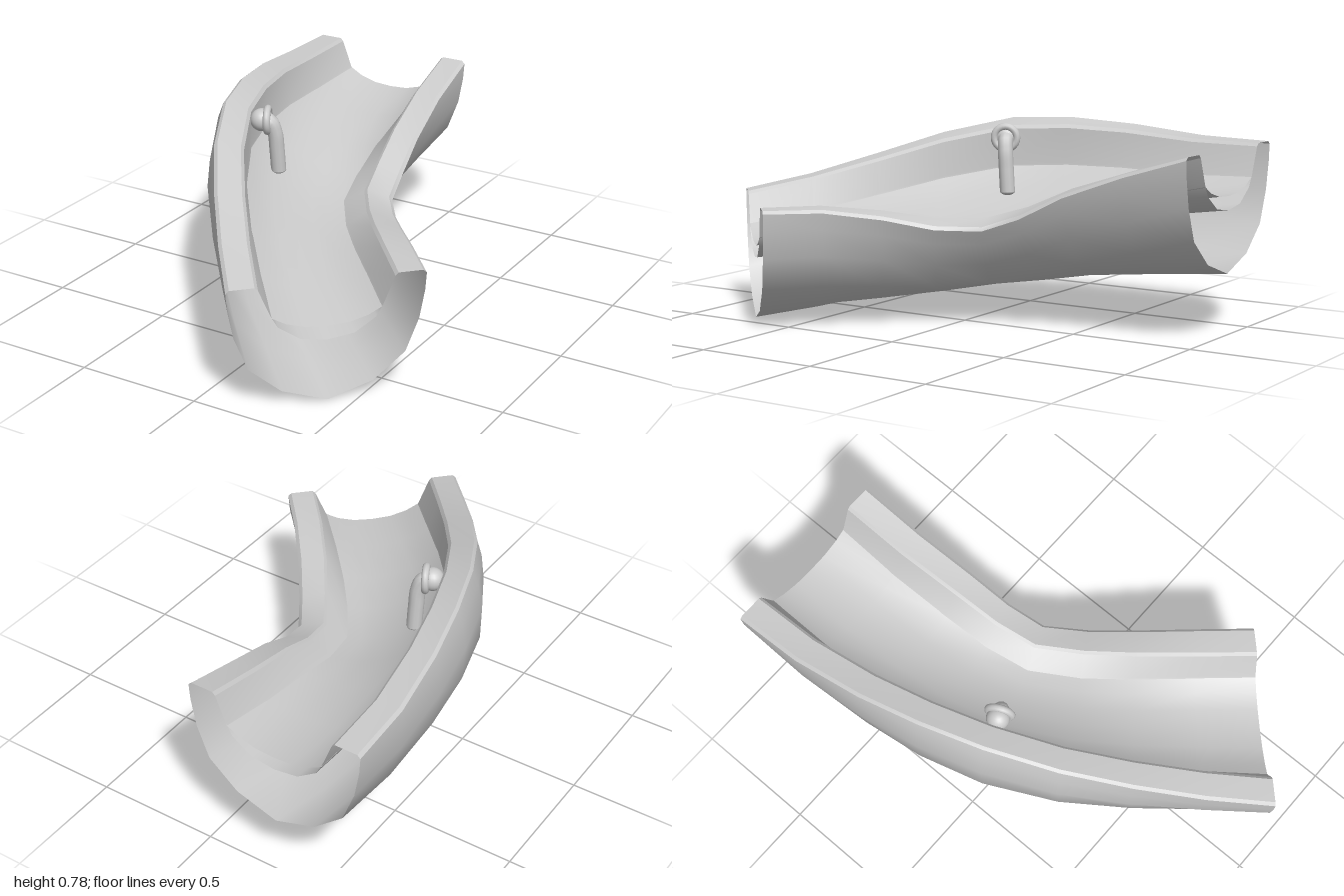
import * as THREE from 'three';

// Rim stations from the low front end to the rear: left [x, y, z], right [x, y, z]
const STATIONS = [
  [[0.15, 0.48, 1.0], [0.67, 0.48, 0.48]],
  [[-0.02, 0.54, 0.79], [0.52, 0.48, 0.31]],
  [[-0.188, 0.625, 0.565], [0.375, 0.45, 0.13]],
  [[-0.345, 0.715, 0.33], [0.26, 0.41, -0.03]],
  [[-0.475, 0.78, 0.07], [0.16, 0.405, -0.18]],
  [[-0.56, 0.785, -0.18], [0.125, 0.46, -0.33]],
  [[-0.62, 0.765, -0.43], [0.1, 0.55, -0.5]],
  [[-0.66, 0.73, -0.72], [0.07, 0.64, -0.74]],
  [[-0.67, 0.72, -1.0], [0.055, 0.72, -1.0]],
].map((s) => s.map((p) => new THREE.Vector3(...p)));

const HALF_WIDTH = 0.365;
const material = new THREE.MeshStandardMaterial({ color: 0xcccccc, side: THREE.DoubleSide });

// Half profile points are [across, height below the rim, onRim];
// points on the rim bank only half as much as the trough.
const mirrored = (half) => [
  ...half.map(([u, v, onRim]) => [-u, v, onRim]),
  ...half.slice(0, -1).reverse(),
];

// Sweep a cross-section along the banked stations
function sweep(name, profile) {
  const positions = [], index = [], n = profile.length;
  STATIONS.forEach(([left, right], row) => {
    const centre = left.clone().add(right).multiplyScalar(0.5);
    const across = right.clone().sub(left);
    const scale = across.length() / (2 * HALF_WIDTH);
    across.normalize();
    const rimAcross = new THREE.Vector3(across.x, across.y * 0.5, across.z).normalize();
    const up = new THREE.Vector3(0, 1, 0).addScaledVector(across, -0.75 * across.y)
      .setLength(1 - 0.25 * across.y ** 2);
    profile.forEach(([u, v, onRim], col) => {
      const p = new THREE.Vector3();
      if (onRim) {
        p.copy(u < 0 ? left : right).addScaledVector(rimAcross, u - Math.sign(u) * HALF_WIDTH);
        p.y += v;
      } else {
        p.copy(centre).addScaledVector(across, u * scale).addScaledVector(up, v);
      }
      positions.push(p.x, p.y, p.z);
      if (row && col) {
        const d = row * n + col, c = d - 1, b = d - n, a = b - 1;
        index.push(a, b, c, b, d, c);
      }
    });
  });
  const geometry = new THREE.BufferGeometry();
  geometry.setAttribute('position', new THREE.Float32BufferAttribute(positions, 3));
  geometry.setIndex(index);
  geometry.computeVertexNormals();
  const mesh = new THREE.Mesh(geometry, material);
  mesh.name = name;
  return mesh;
}

function createSpout() {
  const spout = new THREE.Group();
  spout.name = 'spout';
  const axis = new THREE.Vector3(0.9, 0, -0.43).normalize();
  const add = (name, geometry) => {
    const mesh = new THREE.Mesh(geometry, material);
    mesh.name = name;
    spout.add(mesh);
    return mesh;
  };

  // Collar facing across the channel
  const collar = add('spoutCollar', new THREE.TorusGeometry(0.046, 0.015, 10, 24));
  collar.position.set(-0.308, 0.707, 0.005);
  collar.quaternion.setFromUnitVectors(new THREE.Vector3(0, 0, 1), axis);

  // Rounded nozzle set into the wall behind the collar
  const nozzle = add('spoutNozzle', new THREE.SphereGeometry(0.046, 20, 14));
  nozzle.position.set(-0.33, 0.707, 0.015);
  nozzle.quaternion.copy(collar.quaternion);

  // Stream falling to the floor
  const path = new THREE.CatmullRomCurve3([
    new THREE.Vector3(-0.34, 0.705, 0.015),
    new THREE.Vector3(-0.3, 0.7, 0),
    new THREE.Vector3(-0.284, 0.655, -0.01),
    new THREE.Vector3(-0.28, 0.58, -0.017),
    new THREE.Vector3(-0.278, 0.49, -0.024),
  ]);
  add('waterStream', new THREE.TubeGeometry(path, 20, 0.031, 12));
  const tip = add('streamEnd', new THREE.SphereGeometry(0.031, 12, 8));
  tip.position.set(-0.278, 0.492, -0.024);
  tip.scale.y = 0.5;
  return spout;
}

export function createModel() {
  const model = new THREE.Group();
  model.name = 'slideBend';

  // Open-ended hollow trough: outer shell, channel and water sheet
  model.add(sweep('outerShell', mirrored([
    [0.365, -0.012, true], [0.36, -0.08], [0.34, -0.19], [0.29, -0.32], [0.17, -0.423], [0, -0.48],
  ])));
  model.add(sweep('innerChannel', mirrored([
    [0.248, -0.012, true], [0.205, -0.12], [0.18, -0.165], [0.1, -0.22], [0, -0.235],
  ])));
  model.add(sweep('waterSheet', mirrored([
    [0.205, -0.125], [0.15, -0.155], [0.08, -0.175], [0, -0.18],
  ])));

  // Rims with a small bevel along both edges
  const rimParts = {
    RimOuterBevel: [[0.365, -0.012], [0.352, 0]],
    RimTop: [[0.352, 0], [0.26, 0]],
    RimInnerBevel: [[0.26, 0], [0.248, -0.012]],
  };
  for (const [side, s] of [['left', -1], ['right', 1]]) {
    for (const [part, points] of Object.entries(rimParts)) {
      const profile = points.map(([u, v]) => [s * u, v, true]);
      if (s > 0) profile.reverse();
      model.add(sweep(side + part, profile));
    }
  }

  model.add(createSpout());
  return model;
}
